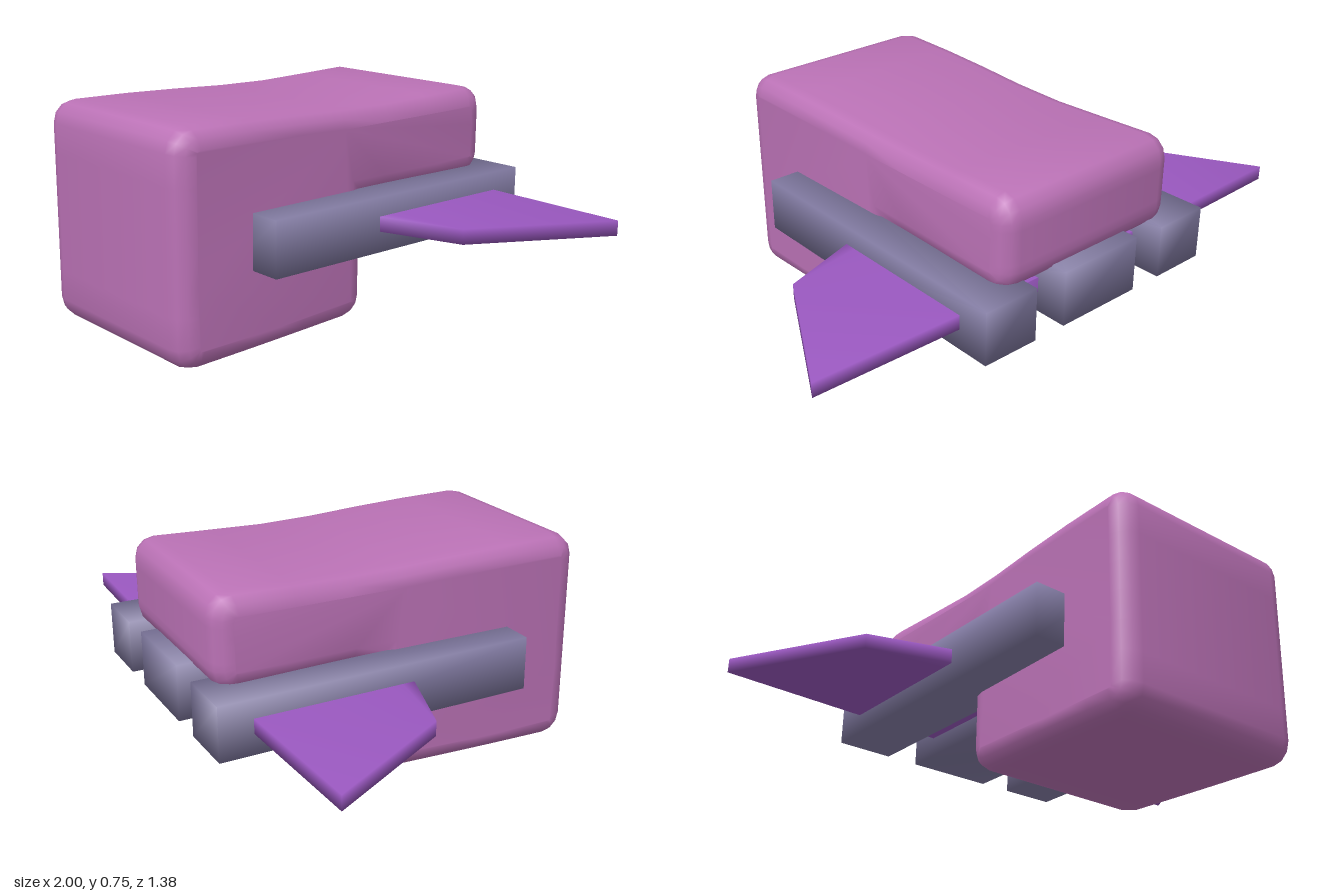
import * as THREE from 'three';
import { mergeVertices, toCreasedNormals } from 'three/addons/utils/BufferGeometryUtils.js';

const pink = new THREE.MeshStandardMaterial({ color: 0xbb72b6 });
const purple = new THREE.MeshStandardMaterial({ color: 0x9a58c0 });
const slate = new THREE.MeshStandardMaterial({ color: 0x7f789f });

// Weld all corners so the shading runs softly over the edges.
function softened(geo) {
  geo.deleteAttribute('normal');
  geo.deleteAttribute('uv');
  const welded = mergeVertices(geo, 1e-4);
  welded.computeVertexNormals();
  return welded;
}

function addMesh(group, name, geo, material) {
  const mesh = new THREE.Mesh(geo, material);
  mesh.name = name;
  group.add(mesh);
  return mesh;
}

// Closed outline with rounded corners and evenly divided straight edges.
function roundedOutline(corners) {
  const pts = [];
  const n = corners.length;
  const steps = 3, divisions = 6;
  const toward = (a, b, d) => a.clone().add(b.clone().sub(a).setLength(d));
  corners.forEach(([x, y, r], i) => {
    const c = new THREE.Vector2(x, y);
    const [px, py] = corners[(i + n - 1) % n];
    const [nx, ny, nr] = corners[(i + 1) % n];
    const next = new THREE.Vector2(nx, ny);
    const start = r ? toward(c, new THREE.Vector2(px, py), r) : c;
    const end = r ? toward(c, next, r) : c;
    if (r) {
      const centre = start.clone().add(end).sub(c);
      for (let s = 0; s < steps; s++) {
        const a = (s / steps) * Math.PI / 2;
        pts.push(centre.clone()
          .addScaledVector(start.clone().sub(centre), Math.cos(a))
          .addScaledVector(end.clone().sub(centre), Math.sin(a)));
      }
    }
    const stop = nr ? toward(next, c, nr) : next;
    for (let s = 0; s < divisions; s++) pts.push(end.clone().lerp(stop, s / divisions));
  });
  return new THREE.Shape(pts);
}

// L-shaped body: deep front block and a rear overhang, slightly waisted.
function bodyGeometry() {
  const r = 0.075, bevel = 0.065, width = 0.74;
  const shape = roundedOutline([
    [0.69, 0, r], [0.69, 0.75, r], [-0.645, 0.75, r],
    [-0.645, 0.43, r], [-0.08, 0.43, 0], [-0.08, 0, r],
  ].reverse());
  const geo = new THREE.ExtrudeGeometry(shape, {
    depth: width - 2 * bevel, bevelSize: bevel, bevelThickness: bevel,
    bevelOffset: -bevel, bevelSegments: 3, steps: 1,
  });
  geo.translate(0, 0, bevel - width / 2).rotateY(-Math.PI / 2);
  const p = geo.attributes.position;
  for (let i = 0; i < p.count; i++) {
    const y = p.getY(i), z = p.getZ(i);
    const waist = Math.exp(-Math.pow((z + 0.12) / 0.36, 2));
    p.setX(i, p.getX(i) * (1 - 0.035 * waist));
    if (y > 0.6) p.setY(i, y - 0.017 * waist);
    else if (y < 0.2) p.setY(i, y + 0.02 * (0.62 - z) / 0.7 * (1 - y / 0.2));
  }
  return toCreasedNormals(softened(geo), 0.9);
}

// One flat plate carries both wings.
function wingGeometry() {
  const half = [[0, 0.02], [0.42, 0], [0.75, -0.11], [1, -0.56], [0.48, -0.575], [0, -0.58]];
  const outline = [...half, ...half.slice(1, -1).reverse().map(([x, z]) => [-x, z])];
  const shape = new THREE.Shape(outline.map(([x, z]) => new THREE.Vector2(x, -z)));
  const geo = new THREE.ExtrudeGeometry(shape, { depth: 0.05, bevelEnabled: false });
  geo.rotateX(-Math.PI / 2).translate(0, 0.35, 0);
  return softened(geo);
}

export function createModel() {
  const model = new THREE.Group();
  model.name = 'model';

  addMesh(model, 'body', bodyGeometry(), pink);
  addMesh(model, 'wings', wingGeometry(), purple);

  // Long rails along each side
  for (const side of [-1, 1]) {
    const rail = addMesh(model, side > 0 ? 'leftRail' : 'rightRail',
      softened(new THREE.BoxGeometry(0.203, 0.184, 1.104)), slate);
    rail.position.set(side * 0.378, 0.372, -0.139);
    rail.rotation.y = -side * 0.006;
  }

  // Short rail under the overhang
  const centre = addMesh(model, 'centreRail',
    softened(new THREE.BoxGeometry(0.32, 0.192, 0.51)), slate);
  centre.position.set(0, 0.376, -0.437);

  return model;
}
